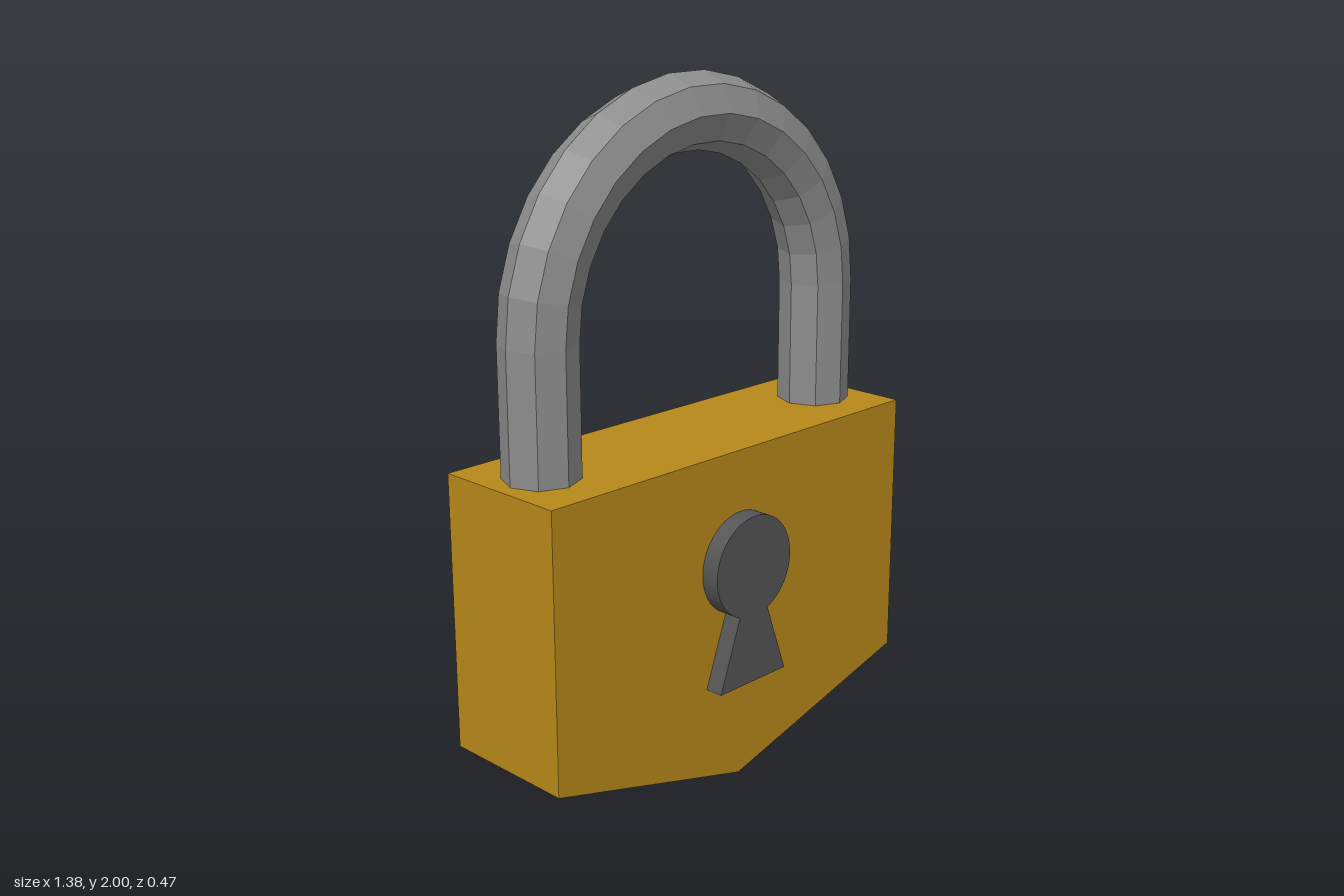
import * as THREE from 'three';

const mat = (color, opts = {}) => new THREE.MeshStandardMaterial({ color, ...opts });

function extrude(name, shape, z0, z1, material) {
  const geo = new THREE.ExtrudeGeometry(shape, { depth: z1 - z0, bevelEnabled: false, curveSegments: 32 });
  const mesh = new THREE.Mesh(geo.translate(0, 0, z0), material);
  mesh.name = name;
  return mesh;
}

// Octagonal bar swept up one leg, over a half circle and down the other leg
function shackleGeometry() {
  const R = 0.543, r = 0.107, springY = 1.354, footY = 0.95, z = -0.027, steps = 15;
  const geo = new THREE.PlaneGeometry(1, 1, steps + 2, 8);
  const p = geo.attributes.position;
  for (let i = 0; i < p.count; i++) {
    const ring = Math.round((p.getX(i) + 0.5) * (steps + 2));
    const a = (p.getY(i) + 0.5) * Math.PI * 2;
    const bend = THREE.MathUtils.clamp((ring - 1) / steps, 0, 1) * Math.PI;
    const isFoot = ring === 0 || ring === steps + 2;
    const d = R + r * Math.cos(a);
    p.setXYZ(i, d * Math.cos(bend), isFoot ? footY : springY + d * Math.sin(bend), z + r * Math.sin(a));
  }
  geo.computeVertexNormals();
  return geo;
}

export function createModel() {
  const group = new THREE.Group();
  group.name = 'padlock';

  // Brass body with a pointed underside
  const body = new THREE.Shape([[0, 0], [0.69, 0.19], [0.69, 0.99], [-0.69, 0.99], [-0.69, 0.19]]
    .map(([x, y]) => new THREE.Vector2(x, y)));
  group.add(extrude('body', body, -0.235, 0.18, mat(0xb8891a)));

  // Raised keyhole: a disc running into a flared slot
  const neck = 0.057, r = 0.15, cy = 0.66;
  const open = Math.asin(neck / r);
  const keyhole = new THREE.Shape();
  keyhole.moveTo(-0.133, 0.31);
  keyhole.lineTo(0.133, 0.31);
  keyhole.absarc(0, cy, r, -Math.PI / 2 + open, Math.PI * 1.5 - open, false);
  keyhole.closePath();
  group.add(extrude('keyhole', keyhole, 0.17, 0.235, mat(0x555555)));

  // Steel shackle
  const shackle = new THREE.Mesh(shackleGeometry(), mat(0x8c8c8c, { flatShading: true }));
  shackle.name = 'shackle';
  group.add(shackle);

  return group;
}
